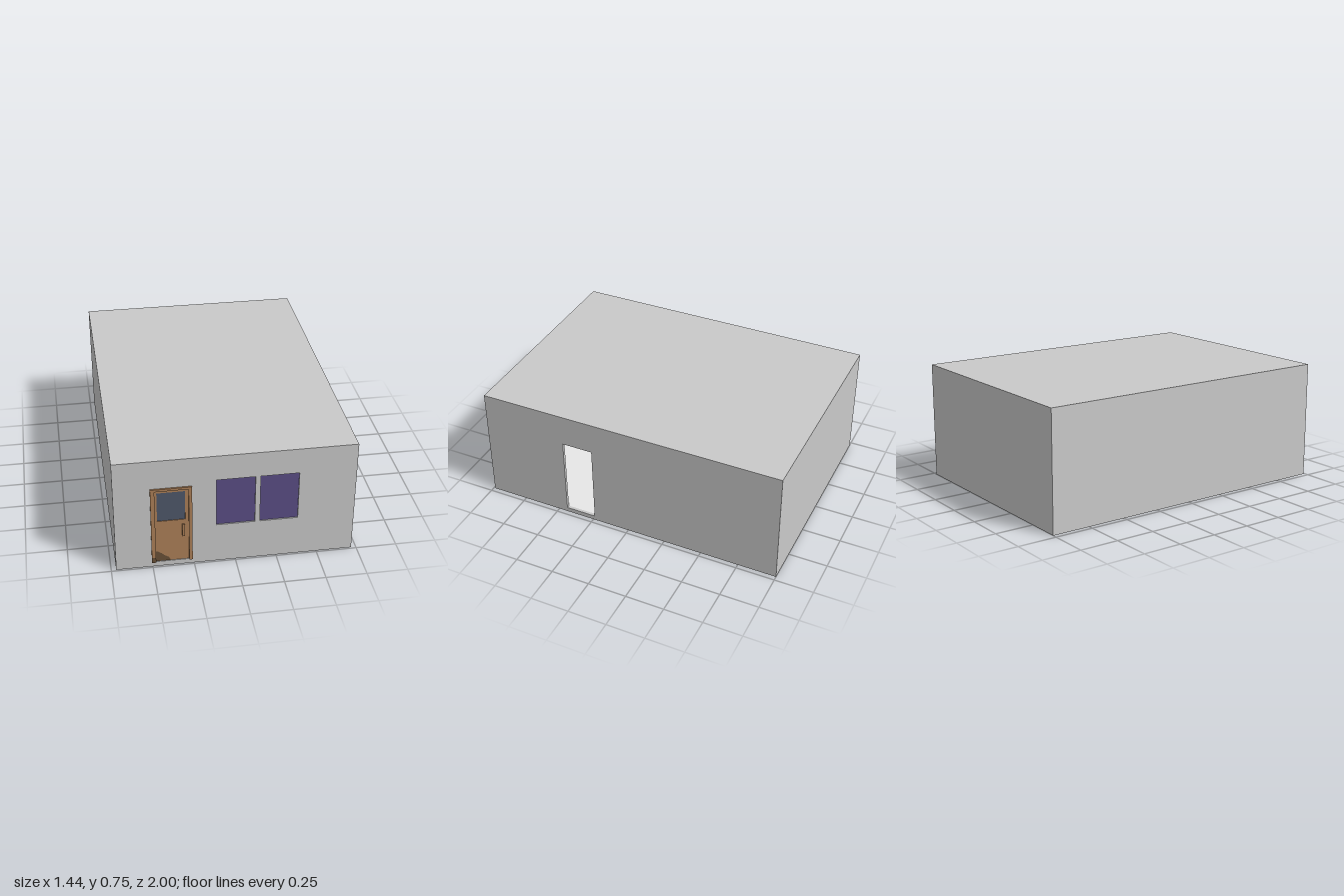
import * as THREE from 'three';

const mat = (name, color) => {
  const m = new THREE.MeshStandardMaterial({ color });
  m.name = name;
  return m;
};

export function createModel() {
  const house = new THREE.Group();
  house.name = 'building';
  const wall = mat('wall grey', 0xc9c9c9);
  const floorWhite = mat('floor white', 0xececec);
  const wood = mat('wood brown', 0xad8058);
  const darkWood = mat('dark wood', 0x685038);
  const glass = mat('door glass', 0x4f586a);
  const purple = mat('window purple', 0x5b4e85);

  const W = 0.72, H = 0.75, BACK = -1, FRONT = 0.99, T = 0.02;
  const midZ = (BACK + FRONT) / 2, depth = FRONT - BACK;

  const add = (name, geometry, material, parent = house) => {
    const m = new THREE.Mesh(geometry, material);
    m.name = name;
    parent.add(m);
    return m;
  };
  // Box given by its minimum and maximum corners
  const box = (name, material, x0, x1, y0, y1, z0, z1, parent) => {
    const m = add(name, new THREE.BoxGeometry(x1 - x0, y1 - y0, z1 - z0), material, parent);
    m.position.set((x0 + x1) / 2, (y0 + y1) / 2, (z0 + z1) / 2);
    return m;
  };
  const rect = (Kind, x0, x1, y0, y1) => new Kind([
    new THREE.Vector2(x0, y0), new THREE.Vector2(x1, y0),
    new THREE.Vector2(x1, y1), new THREE.Vector2(x0, y1)]);
  // Flat panel with rectangular openings, extruded along z
  const panel = (outer, holes, thick) => {
    const s = rect(THREE.Shape, ...outer);
    s.holes = holes.map((h) => rect(THREE.Path, ...h));
    return new THREE.ExtrudeGeometry(s, { depth: thick, bevelEnabled: false });
  };

  // Shell
  const doorHole = [-0.505, -0.26, 0.033, 0.56];
  const windows = [[-0.115, 0.115, 0.265, 0.585], [0.145, 0.375, 0.265, 0.585]];
  add('frontWall', panel([-W, W, 0, H], [doorHole, ...windows], T), wall).position.z = FRONT - T;
  box('backWall', wall, -W, W, 0, H, BACK, BACK + T);
  box('leftSideWall', wall, -W, -W + T, 0, H, BACK + T, FRONT - T);
  const side = add('doorwayWall',
    panel([-FRONT + T, -BACK - T, 0, H], [[-0.44, -0.24, 0.03, 0.545]], T), wall);
  side.rotation.y = Math.PI / 2;
  side.position.x = W - T;
  box('roof', wall, -W + T, W - T, H - 0.01, H, BACK + T, FRONT - T);
  box('base', wall, -W + T, W - T, 0, 0.015, BACK + T, FRONT - T);
  const floor = add('floor', new THREE.PlaneGeometry(2 * (W - T), depth - 2 * T), floorWhite);
  floor.rotation.x = -Math.PI / 2;
  floor.position.set(0, 0.03, midZ);

  // Window panes, slightly recessed
  for (const [x0, x1, y0, y1] of windows) {
    box('windowPane', purple, x0, x1, y0, y1, FRONT - 0.016, FRONT - 0.008);
  }

  // Front door
  const door = new THREE.Group();
  door.name = 'frontDoor';
  house.add(door);
  const frame = new THREE.Shape([
    [-0.505, 0.033], [-0.48, 0.033], [-0.48, 0.545], [-0.28, 0.545],
    [-0.28, 0.033], [-0.26, 0.033], [-0.26, 0.56], [-0.505, 0.56],
  ].map(([x, y]) => new THREE.Vector2(x, y)));
  add('doorFrame', new THREE.ExtrudeGeometry(frame, { depth: 0.035, bevelEnabled: false }),
    wood, door).position.z = 0.965;
  const pane = [-0.467, -0.3, 0.325, 0.525];
  add('doorLeaf', panel([-0.48, -0.28, 0.033, 0.545], [pane], 0.018), wood, door).position.z = 0.968;
  box('doorGlass', glass, ...pane, 0.974, 0.982, door);
  box('doorHandle', wood, -0.32, -0.305, 0.21, 0.295, 0.986, 0.998, door);

  // Dark worn corner of the door and frame
  const worn = new THREE.Shape([
    [-0.48, 0.034], [-0.39, 0.034], [-0.402, 0.058], [-0.425, 0.072],
    [-0.445, 0.09], [-0.465, 0.104], [-0.48, 0.106],
  ].map(([x, y]) => new THREE.Vector2(x, y)));
  add('wornCorner', new THREE.ShapeGeometry(worn), darkWood, door).position.z = 0.987;
  add('wornFrame', new THREE.ShapeGeometry(rect(THREE.Shape, -0.505, -0.48, 0.034, 0.07)),
    darkWood, door).position.z = 1.0005;

  // Interior: panelling opposite the doorway, pelmet over the windows, ceiling light
  box('panellingUpper', wood, -W + T, -W + 0.03, 0.42, 0.7, -0.1, 0.8);
  box('panellingLower', darkWood, -W + T, -W + 0.03, 0.03, 0.42, -0.1, 0.8);
  box('pelmet', wood, -0.15, 0.42, 0.63, 0.72, FRONT - T - 0.02, FRONT - T);
  box('ceilingLight', floorWhite, 0.42, 0.54, 0.715, 0.74, 0.46, 0.52);

  return house;
}
